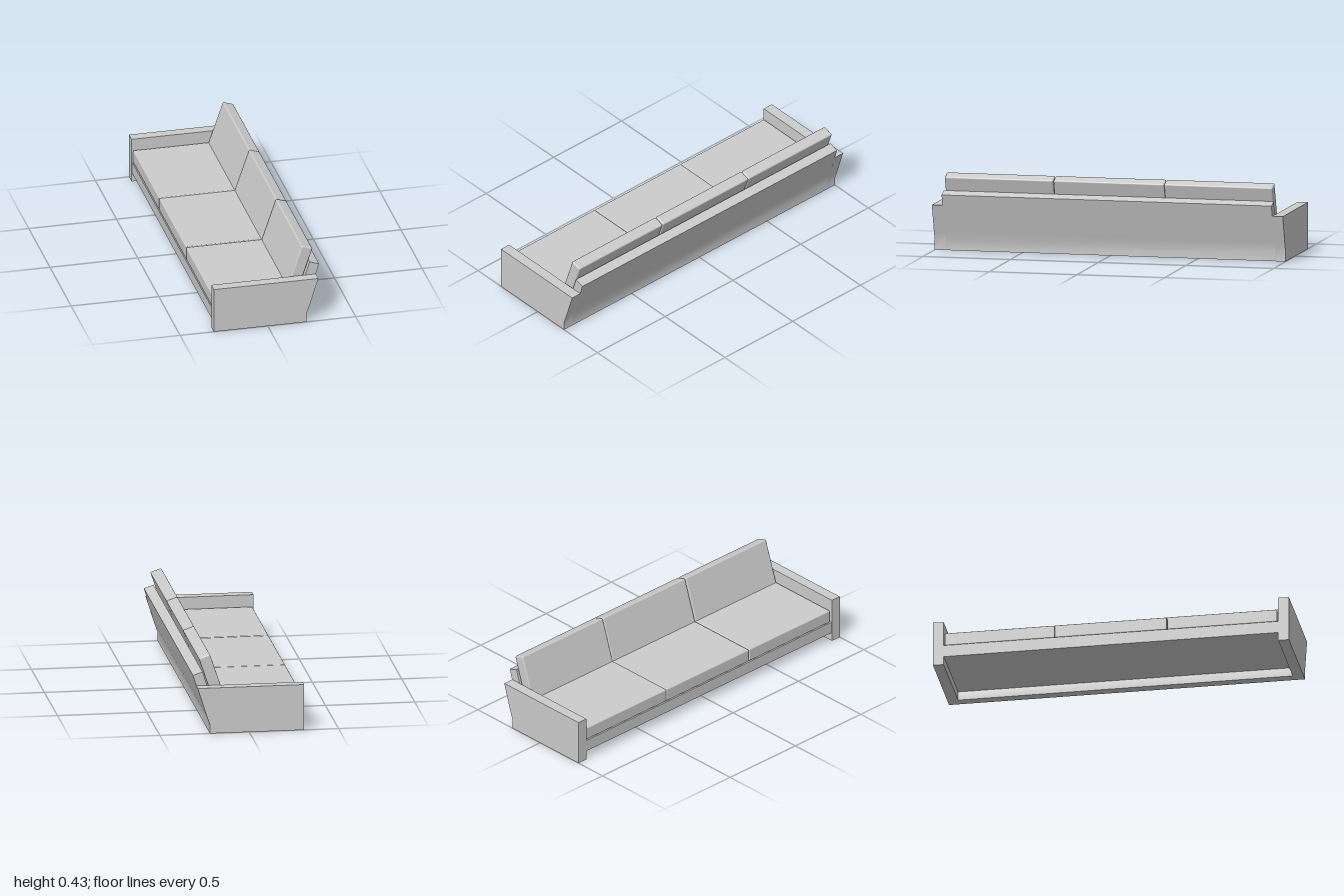
import * as THREE from 'three';
import { RoundedBoxGeometry } from 'three/addons/geometries/RoundedBoxGeometry.js';
import { toCreasedNormals } from 'three/addons/utils/BufferGeometryUtils.js';

const material = new THREE.MeshStandardMaterial({ color: 0xcccccc });

function addMesh(parent, name, geometry, x = 0, y = 0, z = 0) {
  const mesh = new THREE.Mesh(geometry, material);
  mesh.name = name;
  mesh.position.set(x, y, z);
  parent.add(mesh);
  return mesh;
}

// Side profile in x/y, extruded along z and centred on z = 0
function sidePanel(points, width) {
  const shape = new THREE.Shape(points.map(([x, y]) => new THREE.Vector2(x, y)));
  const geometry = new THREE.ExtrudeGeometry(shape, { depth: width, bevelEnabled: false });
  geometry.translate(0, 0, -width / 2);
  return toCreasedNormals(geometry, 0.5);
}

export function createModel() {
  const sofa = new THREE.Group();
  sofa.name = 'sofa';

  // Arms, with the raked rear edge
  const armProfile = [
    [-0.308, 0], [0.22, 0], [0.22, 0.05], [0.241, 0.11], [0.288, 0.26], [-0.308, 0.26],
  ];
  for (const side of [-1, 1]) {
    addMesh(sofa, side > 0 ? 'leftArm' : 'rightArm', sidePanel(armProfile, 0.06), 0, 0, side * 0.97);
  }

  // Leaning back frame, reaching the floor
  const backProfile = [
    [0.165, 0], [0.22, 0], [0.22, 0.05], [0.241, 0.11], [0.306, 0.32],
    [0.252, 0.338], [0.187, 0.13], [0.165, 0.06],
  ];
  addMesh(sofa, 'backFrame', sidePanel(backProfile, 1.88));

  // Raised platform between the arms
  addMesh(sofa, 'seatBase', new THREE.BoxGeometry(0.475, 0.068, 1.88), -0.0665, 0.084, 0);

  // Three seat cushions and three tilted back cushions
  const lean = 0.325;
  [-0.627, -0.003, 0.624].forEach((z, i) => {
    const width = i === 1 ? 0.63 : 0.616;
    addMesh(sofa, 'seatCushion' + (i + 1),
      new RoundedBoxGeometry(0.475, 0.074, width, 3, 0.006), -0.0635, 0.157, z);
    const back = addMesh(sofa, 'backCushion' + (i + 1),
      new RoundedBoxGeometry(0.065, 0.295, width, 3, 0.008), 0.194, 0.286, z);
    back.rotation.z = -lean;
  });

  return sofa;
}
